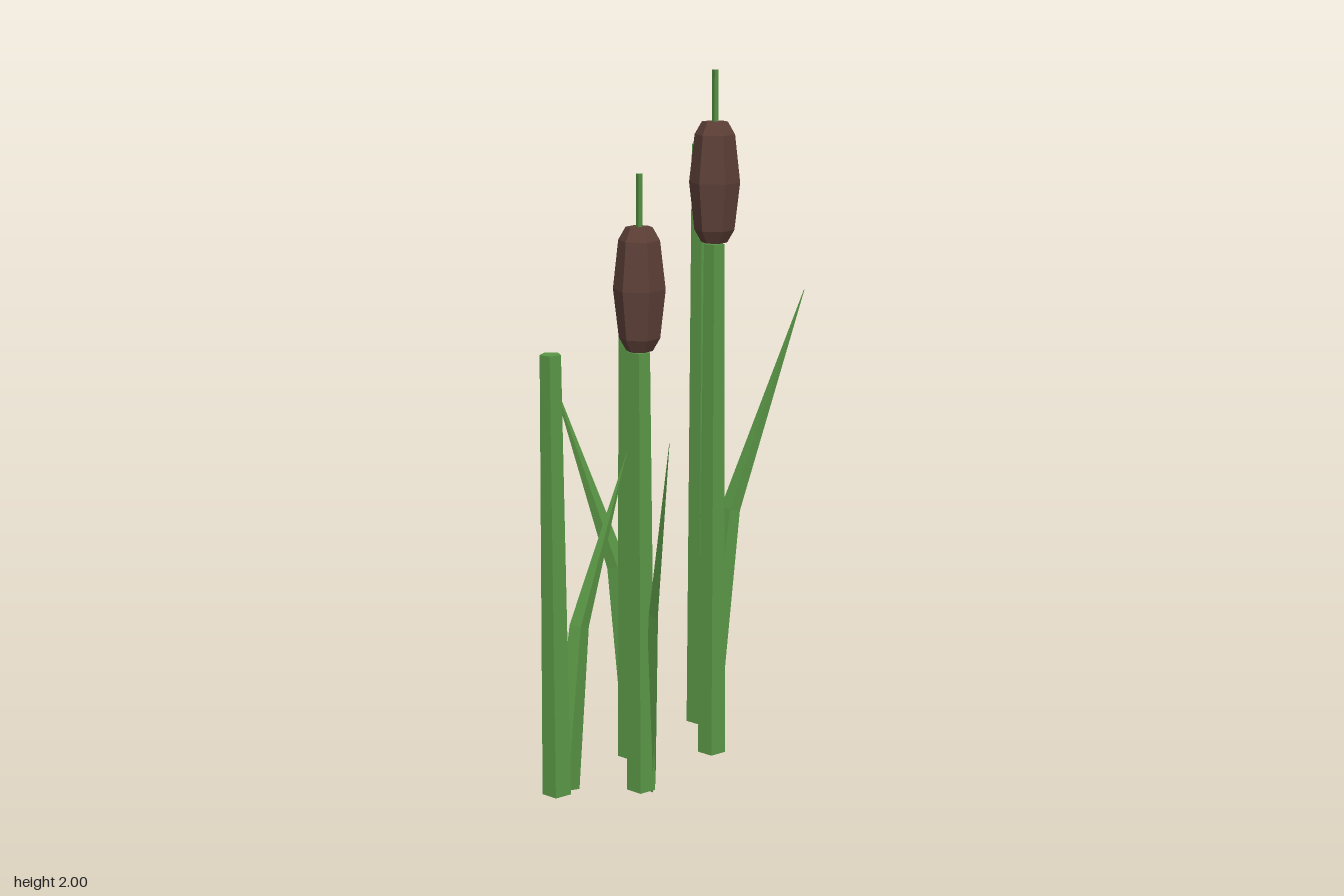
import * as THREE from 'three';

const green = new THREE.MeshStandardMaterial({ color: 0x5a9646, flatShading: true });
const brown = new THREE.MeshStandardMaterial({ color: 0x5d4037, flatShading: true });

function part(name, geometry, material) {
  const flat = geometry.index ? geometry.toNonIndexed() : geometry;
  flat.computeVertexNormals();
  const mesh = new THREE.Mesh(flat, material);
  mesh.name = name;
  return mesh;
}

// Tapered five-sided stalk with one corner towards +x
function stalk(height) {
  const base = 0.01;
  const g = new THREE.CylinderGeometry(0.03, 0.042, height - base, 5);
  g.rotateY(Math.PI / 2).translate(0, (height + base) / 2, 0);
  return part('stalk', g, green);
}

// Six-sided seed head, bottom at y
function seedHead(y) {
  const profile = [[0, 0], [0.036, 0], [0.056, 0.035], [0.071, 0.167], [0.056, 0.298], [0.036, 0.333], [0, 0.333]];
  const g = new THREE.LatheGeometry(profile.map(([r, h]) => new THREE.Vector2(r, y + h)), 6);
  return part('seedHead', g.rotateY(Math.PI / 2), brown);
}

// Thin three-sided spike above the seed head
function spike(bottom, top) {
  const g = new THREE.CylinderGeometry(0.01, 0.01, top - bottom, 3);
  g.rotateY(Math.PI).translate(0, (top + bottom) / 2, 0);
  return part('spike', g, green);
}

// Diamond-section leaf, bending outwards once at half height
function leaf(height, reach, angle) {
  const g = new THREE.CylinderGeometry(1, 1, 1, 4, 2);
  const p = g.attributes.position;
  for (let i = 0; i < p.count; i++) {
    const t = p.getY(i) + 0.5;
    const size = t < 0.25 ? 1 : t < 0.75 ? 0.66 : 0.02;
    const along = p.getX(i) * 0.043 * size;
    const across = p.getZ(i) * 0.02 * size;
    p.setXYZ(i, along + reach * t * t, 0.01 + (height - 0.01) * t - along * 0.22, across);
  }
  const mesh = part('leaf', g, green);
  mesh.position.x = 0.035;
  mesh.rotation.y = -THREE.MathUtils.degToRad(angle);
  return mesh;
}

export function createModel() {
  const model = new THREE.Group();
  model.name = 'reeds';
  const heights = [1.27, 1.27, 1.523, 1.523, 1.777];
  const reaches = [0.192, 0.227, 0.246, 0.258, 0.281];
  heights.forEach((height, i) => {
    const headed = i % 2 === 1;
    const plant = new THREE.Group();
    plant.name = headed ? 'headedReed' : 'plainReed';
    plant.position.set(-0.41 + 0.1683 * i, 0, headed ? 0.077 : -0.092);
    plant.add(stalk(height), leaf(0.97 + 0.096 * i, reaches[i], 30 + 97.5 * i));
    if (headed) plant.add(seedHead(height + 0.004), spike(height + 0.3, height + 0.477));
    model.add(plant);
  });
  return model;
}
